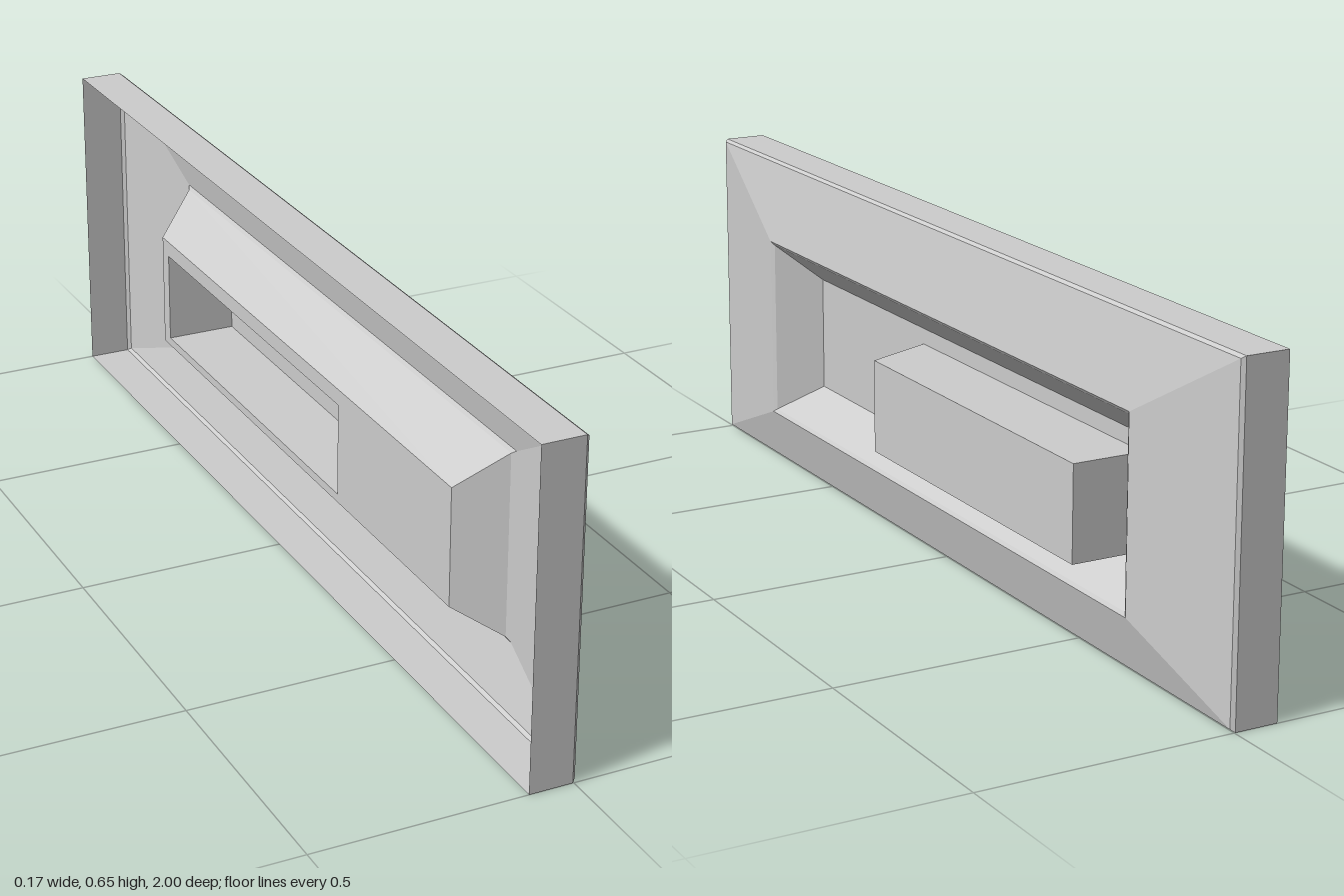
import * as THREE from 'three';

// A rectangular ring of four corners at depth x, counter-clockwise as seen from +x
const ring = (x, y0, y1, z0, z1) => [[x, y0, z1], [x, y0, z0], [x, y1, z0], [x, y1, z1]];

// Flat-faced skin running through successive rings, optionally closed at the last one
function loft(rings, capped = false) {
  const positions = [];
  const quad = (a, b, c, d) => positions.push(...a, ...b, ...c, ...a, ...c, ...d);
  for (let r = 0; r < rings.length - 1; r++) {
    const a = rings[r], b = rings[r + 1];
    for (let i = 0; i < 4; i++) {
      const j = (i + 1) % 4;
      quad(a[i], a[j], b[j], b[i]);
    }
  }
  if (capped) quad(...rings[rings.length - 1]);
  const geometry = new THREE.BufferGeometry();
  geometry.setAttribute('position', new THREE.Float32BufferAttribute(positions, 3));
  geometry.computeVertexNormals();
  return geometry;
}

export function createModel() {
  const group = new THREE.Group();
  group.name = 'wallSwitch';

  const grey = new THREE.MeshStandardMaterial({ color: 0xcccccc, side: THREE.DoubleSide });
  grey.name = 'light grey';

  const add = (name, geometry) => {
    const mesh = new THREE.Mesh(geometry, grey);
    mesh.name = name;
    group.add(mesh);
  };

  // Shared edges between the parts
  const lip = ring(0.035, 0.115, 0.49, -0.71, 0.71);
  const floorEdge = ring(-0.055, 0.175, 0.41, -0.645, 0.645);
  const opening = ring(-0.055, 0.192, 0.378, -0.615, 0.195);

  // Open-backed cover: side walls, small edge bevel, sloping face
  add('coverPlate', loft([
    ring(-0.087, 0, 0.655, -1, 1),
    ring(-0.002, 0, 0.655, -1, 1),
    ring(0.005, 0.005, 0.65, -0.994, 0.994),
    lip,
  ]));

  // Recess: rounded-over lip, tapering walls and a floor around the opening
  add('recess', loft([
    lip,
    ring(0.03, 0.122, 0.483, -0.7, 0.7),
    floorEdge,
    opening,
  ]));

  // Hollow lever with one slanted end
  add('lever', loft([opening, ring(0.087, 0.192, 0.378, -0.615, 0.135)], true));

  return group;
}
